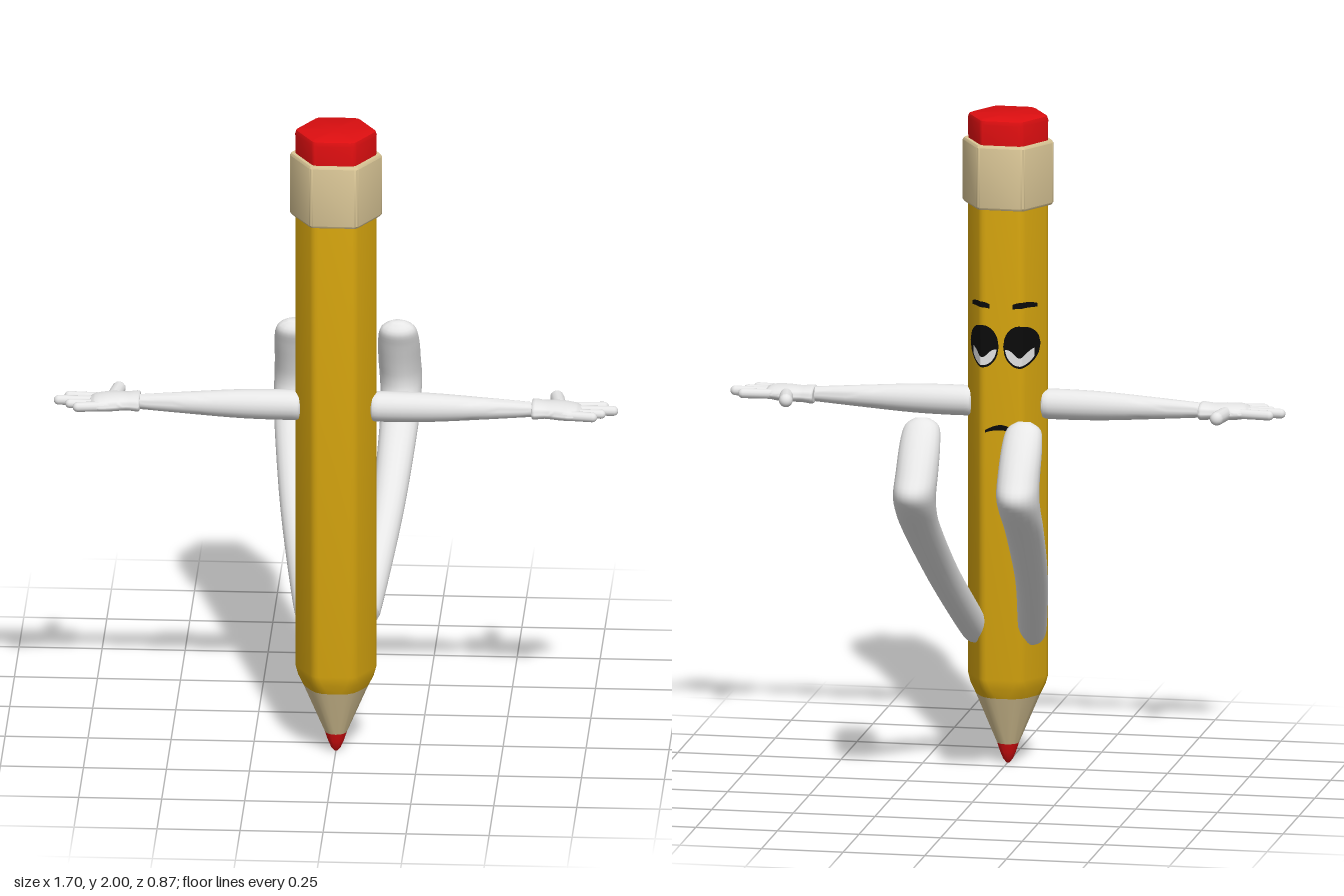
import * as THREE from 'three';
import { toCreasedNormals } from 'three/addons/utils/BufferGeometryUtils.js';

const AXIS_Z = 0.31;
const BODY_R = 0.127;

const paint = (name, color) => {
  const m = new THREE.MeshStandardMaterial({ color });
  m.name = name;
  return m;
};

// Skin a list of equal-length rings, closing both ends; faces always point outward.
function loft(rings, crease = 0.7) {
  const n = rings[0].length, pts = rings.flat(), idx = [];
  for (let i = 0; i < rings.length - 1; i++)
    for (let j = 0; j < n; j++) {
      const a = i * n + j, b = i * n + (j + 1) % n;
      idx.push(a, b, b + n, a, b + n, a + n);
    }
  for (const end of [0, rings.length - 1]) {
    const c = pts.length;
    pts.push(rings[end].reduce((s, p) => s.add(p), new THREE.Vector3()).divideScalar(n));
    for (let j = 0; j < n; j++) {
      const a = end * n + j, b = end * n + (j + 1) % n;
      if (end) idx.push(a, b, c); else idx.push(b, a, c);
    }
  }
  let volume = 0;
  const mid = pts[pts.length - 1];
  const rel = k => pts[k].clone().sub(mid);
  for (let i = 0; i < idx.length; i += 3) volume += rel(idx[i]).dot(rel(idx[i + 1]).cross(rel(idx[i + 2])));
  if (volume < 0) idx.reverse();
  const g = new THREE.BufferGeometry().setFromPoints(pts);
  g.setIndex(idx);
  return toCreasedNormals(g, crease);
}

// Hexagon with softened corners, points toward +x and -x.
function hexRing(y, R, r) {
  const ring = [], d = R - r / Math.cos(Math.PI / 6);
  for (let k = 0; k < 6; k++)
    for (let s = 0; s < 4; s++) {
      const a = k * Math.PI / 3, b = a + (s / 3 - 0.5) * Math.PI / 3;
      ring.push(new THREE.Vector3(d * Math.cos(a) + r * Math.cos(b), y, AXIS_Z + d * Math.sin(a) + r * Math.sin(b)));
    }
  return ring;
}
const hexPart = rows => loft(rows.map(([y, R, r]) => hexRing(y, R, r)), 0.6);

// Ellipse spanned by two half-axes.
function ovalRing(c, u, v, n = 20) {
  return Array.from({ length: n }, (_, i) => {
    const a = i / n * Math.PI * 2;
    return c.clone().addScaledVector(u, Math.cos(a)).addScaledVector(v, Math.sin(a));
  });
}

// Smoothly interpolate rows of section values.
function refine(rows, steps = 4) {
  const out = [];
  for (let i = 0; i < rows.length - 1; i++)
    for (let s = 0; s < steps; s++) {
      const t = s / steps, p = rows[Math.max(i - 1, 0)], a = rows[i], b = rows[i + 1];
      const q = rows[Math.min(i + 2, rows.length - 1)];
      out.push(a.map((v, k) => 0.5 * (2 * v + (b[k] - p[k]) * t + (2 * p[k] - 5 * v + 4 * b[k] - q[k]) * t * t
        + (3 * v - p[k] - 3 * b[k] + q[k]) * t * t * t)));
    }
  out.push(rows[rows.length - 1]);
  return out;
}

// Rows are [x, centre z, half depth, half height] at arm level.
const sideways = rows => loft(refine(rows).map(([x, z, hz, hy]) => ovalRing(
  new THREE.Vector3(x, 1.11, z), new THREE.Vector3(0, 0, hz), new THREE.Vector3(0, hy, 0))), 1.2);

// Thin face paint that folds around the back of the hexagonal body.
function decal(x0, x1, top, bottom, lift) {
  const cols = 28, pts = [], idx = [];
  for (let i = 0; i <= cols; i++) {
    const x = x0 + (x1 - x0) * i / cols;
    const depth = Math.min(BODY_R * Math.sqrt(3) / 2, (BODY_R - Math.abs(x)) * Math.sqrt(3));
    for (const y of [top(x), bottom(x)]) pts.push(new THREE.Vector3(x, y, AXIS_Z - depth - lift));
    if (i < cols) {
      const a = i * 2;
      idx.push(a, a + 2, a + 1, a + 1, a + 2, a + 3);
    }
  }
  const g = new THREE.BufferGeometry().setFromPoints(pts);
  g.setIndex(idx);
  g.computeVertexNormals();
  return g;
}

export function createModel() {
  const gold = paint('gold', 0xdaa80f);
  const red = paint('red', 0xdd0e10);
  const wood = paint('wood', 0xdbc797);
  const white = paint('white', 0xe6e6e6);
  const black = paint('black', 0x0b0b0b);
  black.side = white.side = THREE.DoubleSide;

  const model = new THREE.Group();
  model.name = 'pencilFigure';
  const add = (parent, name, geo, mat) => {
    const m = new THREE.Mesh(geo, mat);
    m.name = name;
    parent.add(m);
    return m;
  };

  // Pencil, from tip to eraser
  add(model, 'tip', hexPart([[0, 0.006, 0.005], [0.012, 0.017, 0.014], [0.035, 0.028, 0.022], [0.062, 0.038, 0.03]]), red);
  add(model, 'sharpenedWood', hexPart([[0.062, 0.038, 0.03], [0.215, 0.108, 0.06]]), wood);
  add(model, 'body', hexPart([[0.215, 0.108, 0.06], [0.245, 0.121, 0.045], [0.275, BODY_R, 0.03], [1.75, BODY_R, 0.03]]), gold);
  add(model, 'ferrule', hexPart([[1.725, 0.136, 0.015], [1.732, 0.141, 0.015], [1.915, 0.141, 0.015], [1.922, 0.136, 0.015]]), wood);
  add(model, 'eraser', hexPart([[1.9, 0.124, 0.02], [1.985, 0.126, 0.02], [1.996, 0.122, 0.02], [2, 0.112, 0.02]]), red);

  // Mouth
  add(model, 'mouth', decal(-0.048, 0.048,
    x => 1.058 - 5 * x * x + 0.006 * (1 - Math.abs(x) / 0.048),
    x => 1.05 - 5 * x * x - 0.004 * (1 - Math.abs(x) / 0.048), 0.003), black);

  // Limbs and eyes, mirrored to both sides
  for (const side of [1, -1]) {
    const half = new THREE.Group();
    half.name = side > 0 ? 'leftSide' : 'rightSide';
    half.scale.x = side;
    model.add(half);

    add(half, 'arm', sideways([
      [0.1, AXIS_Z, 0.02, 0.02], [0.108, AXIS_Z, 0.04, 0.04], [0.13, AXIS_Z, 0.046, 0.046], [0.28, AXIS_Z, 0.044, 0.044],
      [0.45, AXIS_Z, 0.033, 0.033], [0.6, AXIS_Z, 0.02, 0.022]]), white);

    const hand = new THREE.Group();
    hand.name = 'hand';
    half.add(hand);
    add(hand, 'palm', sideways([
      [0.59, 0.305, 0.035, 0.015], [0.594, 0.305, 0.054, 0.027], [0.63, 0.306, 0.05, 0.024], [0.67, 0.31, 0.057, 0.025],
      [0.71, 0.318, 0.058, 0.023], [0.735, 0.318, 0.045, 0.016], [0.742, 0.318, 0.02, 0.006]]), white);
    const digits = [
      ['thumb', 0.672, 0.275, 0.66, 0.203, 0.021], ['firstFinger', 0.7, 0.282, 0.805, 0.274, 0.015],
      ['middleFinger', 0.7, 0.31, 0.835, 0.309, 0.015], ['ringFinger', 0.7, 0.336, 0.8, 0.338, 0.014],
      ['littleFinger', 0.69, 0.356, 0.775, 0.366, 0.015]];
    for (const [name, xa, za, xb, zb, r] of digits) {
      const d = add(hand, name, new THREE.CapsuleGeometry(r, Math.hypot(xb - xa, zb - za), 6, 12), white);
      d.position.set((xa + xb) / 2, 1.11, (za + zb) / 2);
      d.quaternion.setFromUnitVectors(new THREE.Vector3(0, 1, 0), new THREE.Vector3(xb - xa, 0, zb - za).normalize());
    }

    // Leg and foot rows: centre x, half width, front edge z and y, back edge z and y
    const legRows = [
      [0.085, 0.015, 0.266, 0.425, 0.25, 0.395], [0.088, 0.034, 0.264, 0.45, 0.236, 0.387],
      [0.092, 0.044, 0.235, 0.483, 0.205, 0.402], [0.135, 0.05, 0.02, 0.674, -0.045, 0.612],
      [0.158, 0.058, -0.195, 0.855, -0.28, 0.812], [0.16, 0.062, -0.25, 0.92, -0.4, 0.915],
      [0.158, 0.064, -0.26, 0.965, -0.436, 0.972], [0.156, 0.064, -0.248, 1.02, -0.4, 1.025],
      [0.156, 0.062, -0.222, 1.095, -0.328, 1.11], [0.156, 0.052, -0.206, 1.142, -0.275, 1.162],
      [0.156, 0.02, -0.225, 1.172, -0.247, 1.178]];
    add(half, 'legAndFoot', loft(refine(legRows).map(([x, hx, fz, fy, bz, by]) => ovalRing(
      new THREE.Vector3(x, (fy + by) / 2, (fz + bz) / 2), new THREE.Vector3(hx, 0, 0),
      new THREE.Vector3(0, (fy - by) / 2, (fz - bz) / 2))), 1.2), white);

    // Heavy-lidded eye: dark oval with a white sliver low on the inner side
    const cx = 0.057, cy = 1.305;
    const oval = (x, rx, ry) => ry * Math.sqrt(Math.max(0, 1 - ((x - cx) / rx) ** 2));
    add(half, 'eye', decal(cx - 0.05, cx + 0.05, x => cy + oval(x, 0.05, 0.064), x => cy - oval(x, 0.05, 0.066), 0.003), black);
    const low = x => cy - oval(x, 0.045, 0.059);
    add(half, 'eyeWhite', decal(cx - 0.044, cx + 0.036,
      x => Math.max(low(x), cy - 0.008 - 0.026 * Math.exp(-(((x - cx) / 0.022) ** 2))), low, 0.005), white);
    add(half, 'eyebrow', decal(0.035, 0.1,
      x => 1.442 - 9 * (x - 0.064) ** 2, x => 1.424 - 4 * (x - 0.064) ** 2, 0.003), black);
  }
  return model;
}
